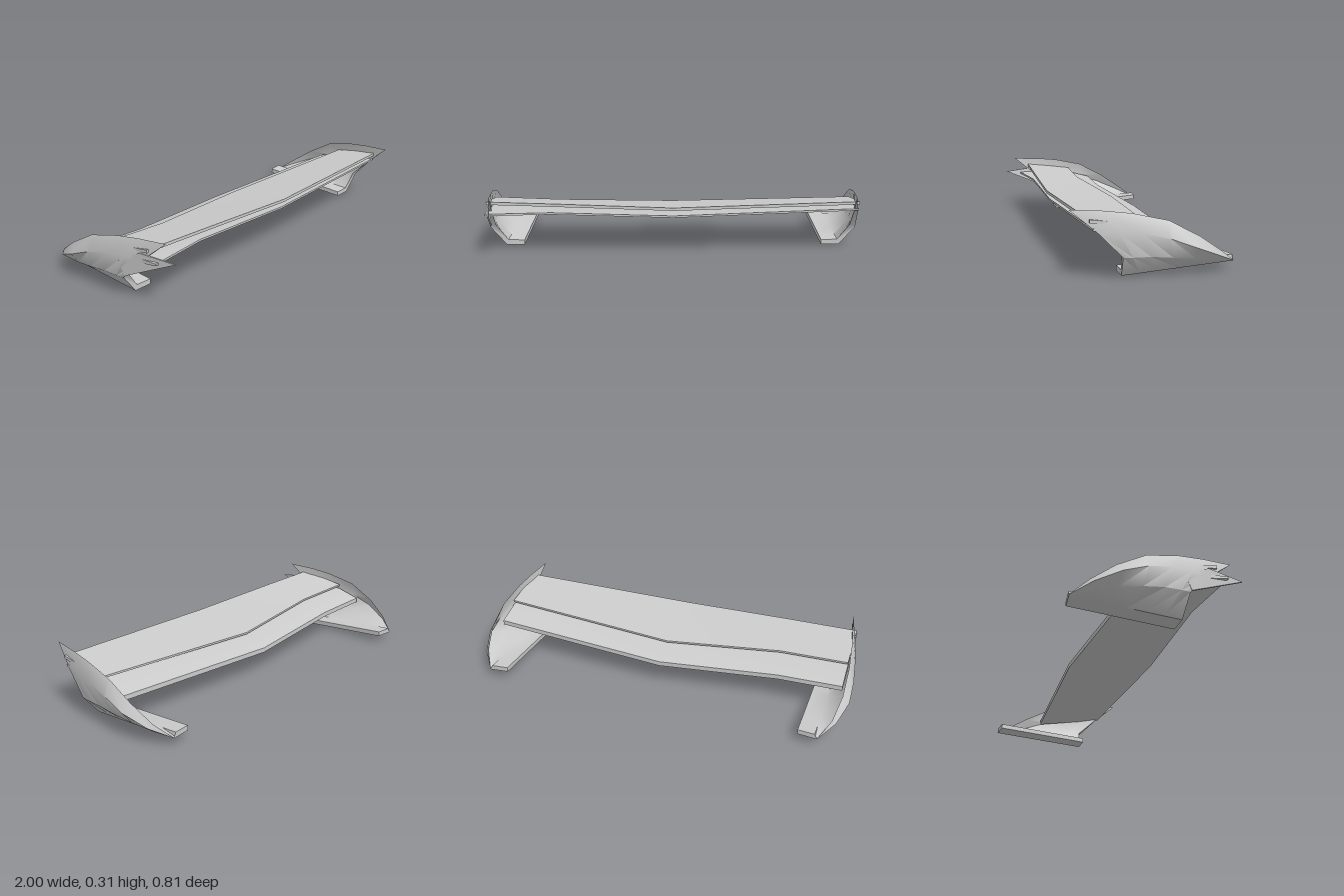
import * as THREE from 'three';
import { toCreasedNormals } from 'three/addons/utils/BufferGeometryUtils.js';

// Closed solid skinned over equal-sized rings of [x, y, z]; caps zigzag across the ring ends
function loft(rings, crease) {
  const n = rings[0].length, m = rings.length, idx = [];
  for (let i = 0; i < m - 1; i++) {
    for (let j = 0; j < n; j++) {
      const a = i * n + j, b = i * n + (j + 1) % n;
      idx.push(a, b, b + n, a, b + n, a + n);
    }
  }
  for (const [base, front] of [[0, true], [(m - 1) * n, false]]) {
    let lo = 0, hi = n - 1, left = true;
    while (hi - lo > 1) {
      const t = left ? [lo, lo + 1, hi] : [lo, hi - 1, hi];
      if (left) lo++; else hi--;
      left = !left;
      if (front) t.reverse();
      idx.push(...t.map((k) => base + k));
    }
  }
  // Turn the faces outward whichever way the rings run
  const pts = rings.flat().map((p) => new THREE.Vector3(...p));
  let volume = 0;
  for (let k = 0; k < idx.length; k += 3) {
    volume += pts[idx[k]].dot(pts[idx[k + 1]].clone().cross(pts[idx[k + 2]]));
  }
  if (volume < 0) idx.reverse();
  const geo = new THREE.BufferGeometry().setFromPoints(pts);
  geo.setIndex(idx);
  return toCreasedNormals(geo, crease);
}

export function createModel() {
  const group = new THREE.Group();
  const paint = new THREE.MeshStandardMaterial({ color: 0xcccccc, side: THREE.DoubleSide });
  paint.name = 'light grey';
  const add = (name, geo) => {
    const mesh = new THREE.Mesh(geo, paint);
    mesh.name = name;
    group.add(mesh);
  };

  // Lower blade: x, rear z, front z, rear bottom y, front bottom y, crown z
  const lower = [
    [-0.95, -0.13, 0.32, 0.15, 0.21, 0],
    [-0.62, -0.125, 0.277, 0.14, 0.207, 0],
    [0, -0.185, 0.28, 0.12, 0.19, -0.06],
    [0.95, -0.13, 0.25, 0.15, 0.22, 0],
  ].map(([x, zr, zf, yr, yf, zc]) => [
    [x, yr, zr], [x, yr + 0.025, zr], [x, yr + 0.06, zc], [x, yf + 0.01, zf], [x, yf, zf],
  ]);
  add('lowerBlade', loft(lower, 0.3));

  // Upper blade: x, rear z, front z, rear top y, front top y
  const upper = [
    [-0.95, 0, 0.265, 0.235, 0.27],
    [-0.6, 0.01, 0.277, 0.224, 0.262],
    [0, -0.06, 0.295, 0.2, 0.245],
    [0.95, 0, 0.265, 0.235, 0.27],
  ].map(([x, zr, zf, yr, yf]) => [
    [x, yr - 0.01, zr], [x, yr, zr], [x, yf, zf], [x, yf - 0.015, zf],
  ]);
  add('upperBlade', loft(upper, 0.3));

  // Endplate outer skin: top edge, bulge and lower curve, each from front to rear
  const top = [[0.915, 0.31, 0.35], [0.935, 0.303, 0.2], [0.95, 0.29, 0.08], [0.965, 0.255, -0.08],
    [0.965, 0.18, -0.22], [0.94, 0.105, -0.33], [0.89, 0.045, -0.41]];
  const bulge = [[0.95, 0.21, 0.23], [0.968, 0.213, 0.14], [0.983, 0.205, 0.04], [0.997, 0.18, -0.08],
    [1, 0.135, -0.2], [0.96, 0.085, -0.32], [0.89, 0.043, -0.41]];
  const low = [[0.965, 0.1, 0.122], [0.97, 0.1, 0.08], [0.973, 0.1, 0], [0.97, 0.09, -0.1],
    [0.955, 0.075, -0.21], [0.925, 0.057, -0.32], [0.888, 0.042, -0.41]];

  for (const [side, s] of [['left', 1], ['right', -1]]) {
    const rings = top.map((t, i) => {
      const k = i / (top.length - 1), z = 0.11 - 0.52 * k, y = 0.04 * k;
      const [b, l] = [bulge[i], low[i]];
      const taper = 1 - 0.7 * k;
      return [
        t, b, l,
        [0.885, y, z], [0.79, y, z + 0.01 * k],                      // foot underside
        [0.79, y + 0.025, z + 0.01 * k], [0.875, y + 0.027, z],      // foot upper side
        [l[0] - 0.03 * taper, l[1] + 0.01 * taper, l[2]],
        [b[0] - 0.02 * taper, b[1], b[2]],
      ].map(([px, py, pz]) => [px * s, py, pz]);
    });
    add(side + 'Endplate', loft(rings, 0.75));
  }

  // Lower spike on the right endplate
  const spike = [0, 0.008].map((d) => [
    [-0.915 + d, 0.228, 0.405], [-0.955 + d, 0.245, 0.22], [-0.97 + d, 0.18, 0.1], [-0.965 + d, 0.11, 0.13],
  ]);
  add('rightEndplateSpike', loft(spike, 0.3));

  return group;
}
